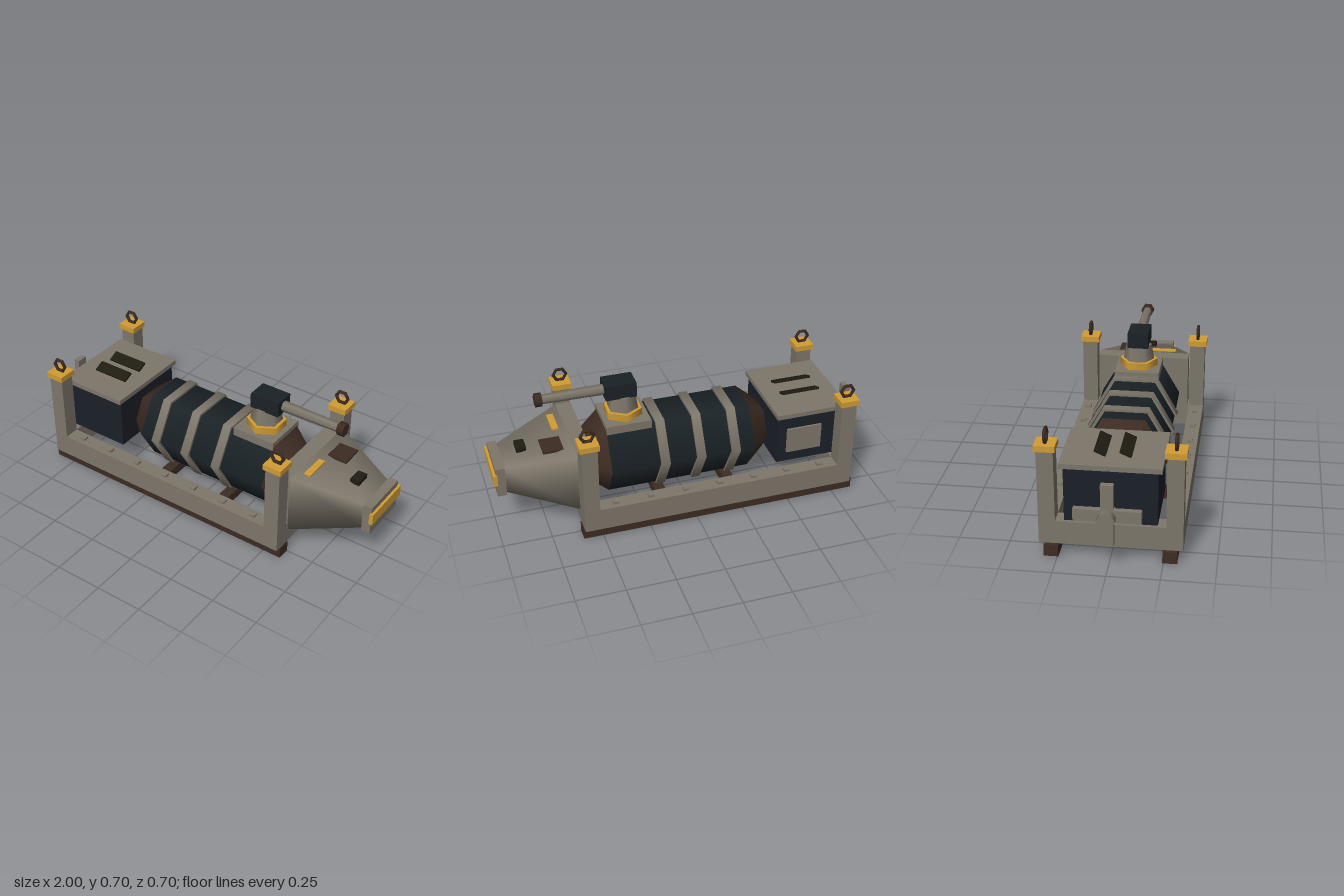
import * as THREE from 'three';

const mat = (color) => new THREE.MeshStandardMaterial({ color });
const GREY = mat(0x7d766a), BROWN = mat(0x3d2c23), GOLD = mat(0xd09c35);
const NAVY = mat(0x1b1f28), HULL = mat(0x1a2226), BLACK = mat(0x1f1c12);

export function createModel() {
  const model = new THREE.Group();
  model.name = 'skidMountedTank';

  const add = (name, geometry, material, x, y, z) => {
    const mesh = new THREE.Mesh(geometry, material);
    mesh.name = name;
    mesh.position.set(x, y, z);
    model.add(mesh);
    return mesh;
  };
  const box = (name, material, [w, h, d], [x, y, z]) =>
    add(name, new THREE.BoxGeometry(w, h, d), material, x, y, z);
  // six-sided cylinder lying along x, from x0 (radius r0) to x1 (radius r1)
  const along = (name, material, x0, x1, r0, r1, y) => {
    const g = new THREE.CylinderGeometry(r1, r0, x1 - x0, 6);
    g.rotateZ(-Math.PI / 2);
    // turn so that corners point to the sides and the top is flat
    g.rotateX(0);
    return add(name, g, material, (x0 + x1) / 2, y, 0);
  };

  // frame: skids, rails, studs, posts with caps and lifting rings
  for (const s of [1, -1]) {
    box('skid', BROWN, [1.46, 0.06, 0.07], [-0.13, 0.03, s * 0.28]);
    box('rail', GREY, [1.436, 0.12, 0.08], [-0.122, 0.12, s * 0.3]);
    for (let i = 0; i < 7; i++)
      box('railStud', GREY, [0.03, 0.012, 0.03], [-0.672 + i * 0.183, 0.186, s * 0.3]);
    for (const x of [-0.8, 0.556]) {
      box('post', GREY, [0.08, 0.48, 0.08], [x, 0.3, s * 0.3]);
      box('postCap', GOLD, [0.1, 0.03, 0.1], [x, 0.555, s * 0.3]);
      add('liftingRing', new THREE.TorusGeometry(0.034, 0.009, 6, 6), BROWN, x, 0.605, s * 0.3);
    }
  }
  for (const x of [-0.8, 0.556]) box('endBeam', GREY, [0.08, 0.12, 0.52], [x, 0.12, 0]);
  for (const x of [-0.24, 0.138]) box('crossBar', BROWN, [0.055, 0.05, 0.5], [x, 0.035, 0]);

  // tank with tapered ends and bands
  along('tank', HULL, -0.345, 0.415, 0.212, 0.212, 0.3);
  along('tankRearEnd', BROWN, -0.445, -0.345, 0.127, 0.212, 0.3);
  along('tankFrontEnd', BROWN, 0.415, 0.52, 0.212, 0.127, 0.3);
  for (const x of [-0.24, -0.053, 0.138])
    along('tankBand', GREY, x - 0.024, x + 0.024, 0.226, 0.226, 0.3);

  // machine housing with lid, tilted vents and a side panel
  box('housing', NAVY, [0.36, 0.275, 0.44], [-0.645, 0.318, 0]);
  box('housingLid', GREY, [0.385, 0.025, 0.48], [-0.646, 0.468, 0]);
  box('sidePanel', GREY, [0.19, 0.14, 0.015], [-0.61, 0.31, -0.224]);
  for (const z of [-0.06, 0.06])
    box('vent', BLACK, [0.2, 0.012, 0.06], [-0.642, 0.497, z]).rotation.x = 0.42;

  // crossed fan on a shaft
  along('fanShaft', BROWN, -0.9, -0.81, 0.027, 0.027, 0.285);
  along('fanHub', GREY, -1.0, -0.885, 0.045, 0.037, 0.285);
  box('fanBlade', GREY, [0.03, 0.315, 0.06], [-0.935, 0.285, 0]);
  box('fanBlade', GREY, [0.03, 0.06, 0.315], [-0.935, 0.285, 0]);

  // turret
  box('turretSaddle', GREY, [0.235, 0.045, 0.237], [0.298, 0.486, 0]);
  add('turretRing', new THREE.CylinderGeometry(0.1, 0.1, 0.04, 6), GOLD, 0.3, 0.527, 0);
  add('turretNeck', new THREE.CylinderGeometry(0.068, 0.082, 0.08, 6), GREY, 0.3, 0.587, 0);
  box('turretHead', HULL, [0.16, 0.08, 0.11], [0.318, 0.663, 0]);
  along('nozzle', GREY, 0.39, 0.715, 0.028, 0.024, 0.662);
  along('nozzleTip', BROWN, 0.71, 0.746, 0.035, 0.035, 0.662);

  // bulkhead and four-sided tapering nose
  box('bulkhead', GREY, [0.08, 0.32, 0.5], [0.558, 0.3, 0]);
  const nose = new THREE.CylinderGeometry(0.45 * Math.SQRT2, Math.SQRT2, 0.345, 4);
  nose.rotateY(Math.PI / 4).rotateZ(-Math.PI / 2).scale(1, 0.16, 0.25);
  add('nose', nose, GREY, 0.77, 0.3, 0);
  box('nosePlate', GREY, [0.047, 0.16, 0.26], [0.963, 0.3, 0]);
  box('noseStrip', GOLD, [0.02, 0.06, 0.28], [0.99, 0.32, 0]);
  box('noseMarker', GOLD, [0.035, 0.01, 0.14], [0.647, 0.452, 0.1]);
  box('noseHatch', BROWN, [0.104, 0.012, 0.12], [0.695, 0.444, -0.09]);
  box('noseSensor', BLACK, [0.05, 0.024, 0.08], [0.837, 0.411, 0]);

  return model;
}
